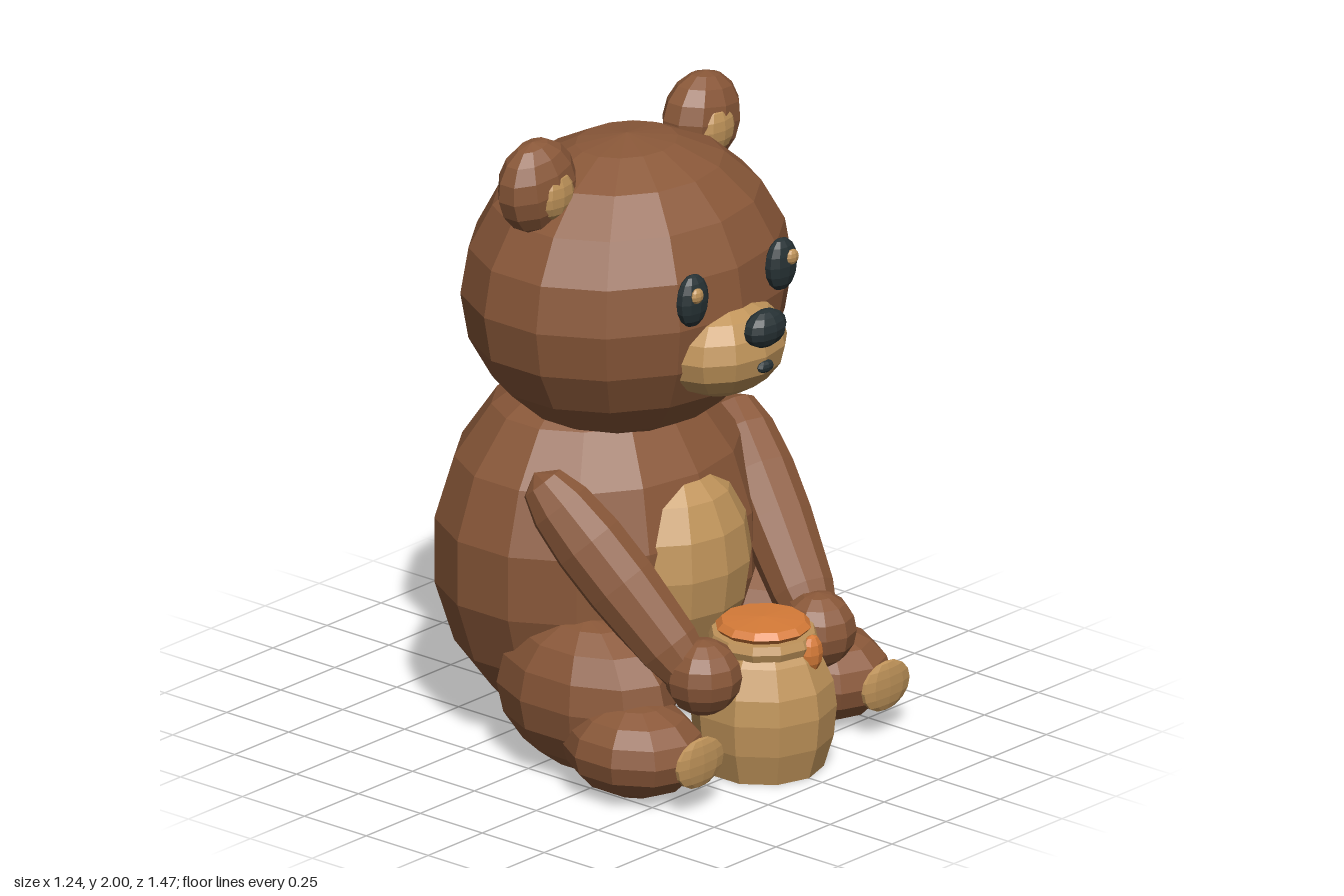
import * as THREE from 'three';

const mat = (name, color) => {
  const m = new THREE.MeshStandardMaterial({ color });
  m.name = name;
  return m;
};

export function createModel() {
  const bear = new THREE.Group();
  bear.name = 'sittingBear';

  const brown = mat('brownFur', 0x8a5839);
  const tan = mat('tanFur', 0xc0945a);
  const dark = mat('darkFeatures', 0x273235);
  const orange = mat('honeyOrange', 0xd67b38);

  // Faceted mesh: unshared corners give each face its own normal
  function add(name, geometry, material, pos) {
    const g = geometry.toNonIndexed();
    g.computeVertexNormals();
    const mesh = new THREE.Mesh(g, material);
    mesh.name = name;
    mesh.position.set(...pos);
    bear.add(mesh);
    return mesh;
  }

  // Low-poly ellipsoid, flattened where it would pass below the ground
  function blob(name, material, pos, radii, w = 10, h = 8) {
    const g = new THREE.SphereGeometry(1, w, h);
    g.rotateY(Math.PI / 2);
    g.scale(...radii);
    const p = g.attributes.position;
    for (let i = 0; i < p.count; i++) p.setY(i, Math.max(p.getY(i), -pos[1]));
    return add(name, g, material, pos);
  }

  function lathe(name, material, pos, profile, sides) {
    const pts = profile.map(([r, y]) => new THREE.Vector2(r, y));
    return add(name, new THREE.LatheGeometry(pts, sides), material, pos);
  }

  // Torso, belly and tail
  blob('body', brown, [0, 0.58, -0.156], [0.555, 0.6, 0.468], 14, 9);
  blob('bellyPatch', tan, [0, 0.58, 0.16], [0.265, 0.32, 0.21], 12, 8);
  blob('tail', brown, [0, 0.255, -0.61], [0.13, 0.125, 0.125], 10, 8);

  // Head and face
  blob('head', brown, [0, 1.445, -0.04], [0.553, 0.475, 0.472], 14, 10);
  blob('muzzle', tan, [0, 1.33, 0.35], [0.225, 0.155, 0.175], 12, 8);
  blob('nose', dark, [0, 1.425, 0.52], [0.085, 0.06, 0.048], 10, 8);
  blob('mouth', dark, [0, 1.3, 0.52], [0.035, 0.02, 0.018], 8, 6);

  // Arm cross-sections along its length (radius, height)
  const armProfile = [[0, 0], [0.07, 0.01], [0.1, 0.14], [0.115, 0.38],
    [0.115, 0.54], [0.1, 0.68], [0.07, 0.77], [0, 0.81]];

  for (const s of [1, -1]) {
    const side = s > 0 ? 'left' : 'right';

    // Ears
    const ear = blob(side + 'Ear', brown, [s * 0.38, 1.85, -0.07], [0.15, 0.15, 0.1]);
    ear.rotation.z = -s * 0.15;
    blob(side + 'InnerEar', tan, [s * 0.372, 1.835, -0.005], [0.08, 0.08, 0.04]);

    // Eyes
    blob(side + 'Eye', dark, [s * 0.205, 1.545, 0.405], [0.065, 0.085, 0.036]);
    blob(side + 'EyeGlint', tan, [s * 0.22, 1.572, 0.438], [0.025, 0.025, 0.014], 8, 6);

    // Arms and hands
    const bottom = new THREE.Vector3(s * 0.28, 0.34, 0.49);
    const top = new THREE.Vector3(s * 0.445, 0.935, -0.015);
    const arm = lathe(side + 'Arm', brown, bottom.toArray(), armProfile, 10);
    arm.quaternion.setFromUnitVectors(new THREE.Vector3(0, 1, 0),
      top.sub(bottom).normalize());
    blob(side + 'Hand', brown, [s * 0.265, 0.36, 0.5], [0.12, 0.12, 0.12]);

    // Legs
    blob(side + 'Thigh', brown, [s * 0.38, 0.25, 0.13], [0.205, 0.245, 0.32], 10, 8);
    blob(side + 'Foot', brown, [s * 0.43, 0.145, 0.365], [0.2, 0.15, 0.235], 10, 8);
    blob(side + 'FootPad', tan, [s * 0.43, 0.16, 0.63], [0.11, 0.08, 0.02]);
  }

  // Honey pot with collar, filling and drip
  const potAt = [0, 0, 0.512];
  lathe('honeyPot', tan, potAt, [[0, 0], [0.185, 0], [0.215, 0.1], [0.225, 0.2],
    [0.215, 0.28], [0.175, 0.37], [0.15, 0.4], [0, 0.4]], 10);
  lathe('potCollar', tan, potAt, [[0.14, 0.385], [0.16, 0.39], [0.17, 0.415],
    [0.16, 0.44], [0, 0.44]], 12);
  lathe('honey', orange, potAt, [[0, 0.43], [0.13, 0.435], [0.148, 0.455],
    [0.13, 0.475], [0, 0.482]], 12);
  blob('honeyDrip', orange, [0.042, 0.39, 0.672], [0.04, 0.06, 0.028], 8, 6);

  return bear;
}
